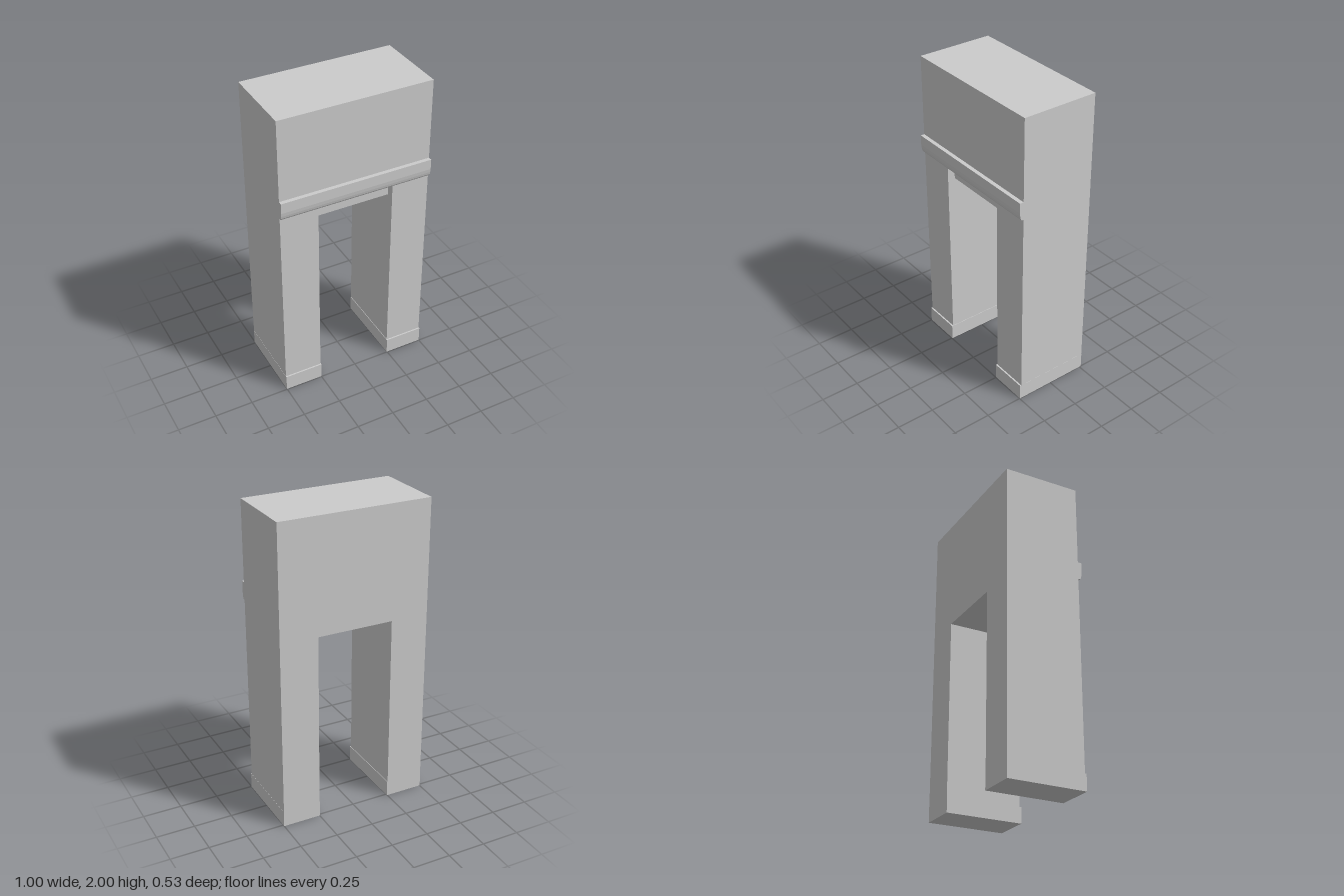
import * as THREE from 'three';

const BACK = -0.263, FRONT = 0.237;

export function createModel() {
  const group = new THREE.Group();
  const material = new THREE.MeshStandardMaterial({ color: 0xcccccc, flatShading: true });

  const add = (name, geometry) => {
    const mesh = new THREE.Mesh(geometry, material);
    mesh.name = name;
    group.add(mesh);
    return mesh;
  };
  const outline = (points) => new THREE.Shape(points.map(([x, y]) => new THREE.Vector2(x, y)));
  // Box given by its minimum and maximum corners
  const block = (name, [x0, y0, z0], [x1, y1, z1]) =>
    add(name, new THREE.BoxGeometry(x1 - x0, y1 - y0, z1 - z0))
      .position.set((x0 + x1) / 2, (y0 + y1) / 2, (z0 + z1) / 2);

  // Wall with two piers and a doorway
  const wall = outline([
    [-0.5, 0], [-0.25, 0], [-0.25, 1.36], [0.25, 1.36],
    [0.25, 0], [0.5, 0], [0.5, 2], [-0.5, 2],
  ]);
  add('archWall', new THREE.ExtrudeGeometry(wall, { depth: FRONT - BACK, bevelEnabled: false }))
    .position.z = BACK;

  // Lintel, set back from the front face and flush with the back
  block('lintel', [-0.25, 1.255, BACK], [0.25, 1.36, FRONT - 0.05]);

  // Plinths, slightly proud of the piers
  block('rightPlinth', [-0.501, 0, BACK], [-0.247, 0.105, FRONT + 0.01]);
  block('leftPlinth', [0.247, 0, BACK], [0.501, 0.105, FRONT + 0.01]);

  // Moulding across the front: profile drawn in (-z, y), swept along x
  const profile = outline([
    [-FRONT, 1.355], [-0.25, 1.355], [-0.256, 1.365], [-0.26, 1.382],
    [-0.263, 1.405], [-0.263, 1.472], [-FRONT, 1.472],
  ].reverse());
  const moulding = add('moulding', new THREE.ExtrudeGeometry(profile, { depth: 1, bevelEnabled: false }));
  moulding.rotation.y = Math.PI / 2;
  moulding.position.x = -0.5;

  return group;
}
